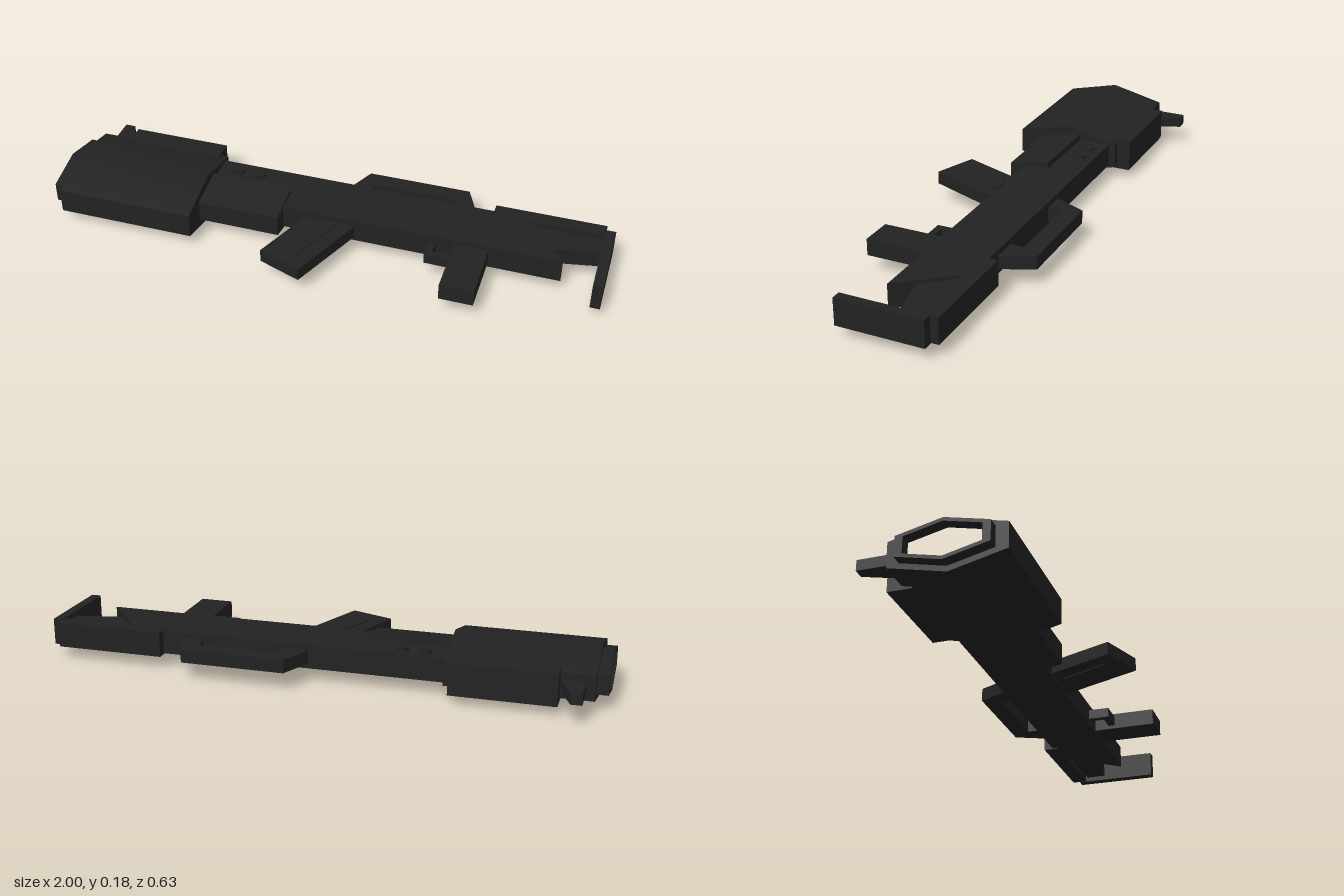
import * as THREE from 'three';
import { toCreasedNormals } from 'three/addons/utils/BufferGeometryUtils.js';

const MID_Y = 0.093;
const MID_Z = -0.011;

export function createModel() {
  const group = new THREE.Group();
  const black = new THREE.MeshStandardMaterial({ color: 0x222222 });
  black.name = 'matte black';

  function add(name, geometry) {
    const mesh = new THREE.Mesh(geometry, black);
    mesh.name = name;
    group.add(mesh);
    return mesh;
  }

  function box(name, [x0, x1], [y0, y1], [z0, z1]) {
    const g = new THREE.BoxGeometry(x1 - x0, y1 - y0, z1 - z0);
    g.translate((x0 + x1) / 2, (y0 + y1) / 2, (z0 + z1) / 2);
    return add(name, g);
  }

  // Outline in x and z, given thickness between two heights
  function plate(name, points, [y0, y1]) {
    const shape = new THREE.Shape(points.map(([x, z]) => new THREE.Vector2(x, z)));
    const g = new THREE.ExtrudeGeometry(shape, { depth: y1 - y0, bevelEnabled: false });
    g.rotateX(Math.PI / 2).translate(0, y1, 0);
    return add(name, g);
  }

  // Six-sided section (z, y) lofted through [x, scale] stations
  const section = [
    [-0.194, 0.045], [0.003, 0.091], [0.194, 0.045],
    [0.194, -0.045], [0.003, -0.091], [-0.194, -0.045],
  ];
  function loft(name, stations) {
    const rings = stations.map(([x, s]) =>
      section.map(([z, y]) => [x, MID_Y + y * s, MID_Z + z * s]));
    const pos = [];
    for (let j = 0; j < rings.length - 1; j++) {
      for (let i = 0; i < 6; i++) {
        const k = (i + 1) % 6;
        const a = rings[j][i], b = rings[j + 1][i], c = rings[j + 1][k], d = rings[j][k];
        pos.push(...a, ...b, ...d, ...b, ...c, ...d);
      }
    }
    const g = new THREE.BufferGeometry();
    g.setAttribute('position', new THREE.Float32BufferAttribute(pos, 3));
    g.computeVertexNormals();
    return add(name, toCreasedNormals(g, 0.6));
  }

  // Front shroud and open muzzle
  loft('barrelShroud', [[-0.455, 0.001], [-0.455, 1], [-0.96, 1], [-0.96, 0.786]]);
  loft('muzzleRing', [[-0.96, 0.786], [-1, 0.786], [-1, 0.65], [-0.96, 0.65]]);
  box('shroudRail', [-0.845, -0.48], [0.035, 0.15], [-0.255, -0.17]);
  plate('frontSight',
    [[-0.93, -0.32], [-0.892, -0.32], [-0.85, -0.22], [-0.85, -0.19], [-0.93, -0.19]],
    [0.075, 0.113]);

  // Main body with slanted rear end
  plate('body', [[-0.82, -0.18], [0.68, -0.18], [0.85, 0.027], [-0.82, 0.027]], [0.05, 0.136]);

  // Fore-end, narrowing towards its lower edge
  const fore = new THREE.BoxGeometry(0.3, 0.131, 0.15);
  const p = fore.attributes.position;
  for (let i = 0; i < p.count; i++) {
    if (p.getZ(i) > 0) p.setY(i, p.getY(i) * 0.58);
  }
  fore.computeVertexNormals();
  fore.translate(-0.305, MID_Y, 0.014);
  add('foreEnd', fore);

  // Side bolts
  for (const x of [-0.38, -0.298]) {
    const bolt = new THREE.CylinderGeometry(0.021, 0.021, 0.03, 12);
    bolt.translate(x, 0.134, -0.13);
    add('sideBolt', bolt);
  }

  // Carry handle
  plate('carryHandle', [
    [0.025, -0.175], [0.08, -0.295], [0.455, -0.295], [0.508, -0.175],
    [0.415, -0.175], [0.415, -0.23], [0.112, -0.23], [0.112, -0.175],
  ], [0.067, 0.115]);

  // Slanted front grip with side panels
  plate('frontGrip', [[-0.07, 0.02], [0.115, 0.02], [-0.003, 0.313], [-0.16, 0.255]], [0.065, 0.112]);
  for (const y of [[0.061, 0.066], [0.111, 0.116]]) {
    plate('frontGripPanel', [[-0.02, 0.05], [0.045, 0.05], [-0.028, 0.24], [-0.09, 0.217]], y);
  }

  // Rear grip and trigger guard
  box('rearGrip', [0.474, 0.594], [0.062, 0.122], [0.02, 0.256]);
  plate('triggerGuard', [
    [0.384, 0.02], [0.408, 0.02], [0.408, 0.08], [0.48, 0.08], [0.48, 0.104], [0.384, 0.104],
  ], [0.075, 0.111]);

  // Stock: upper bar, lower strut and butt plate
  box('stockBar', [0.57, 0.966], [0.047, 0.138], [-0.213, -0.158]);
  plate('stockStrut', [[0.65, -0.15], [0.966, -0.15], [0.966, -0.077], [0.7, -0.025]], [0.063, 0.123]);
  box('buttPlate', [0.965, 1], [0.045, 0.141], [-0.185, 0.126]);

  return group;
}
